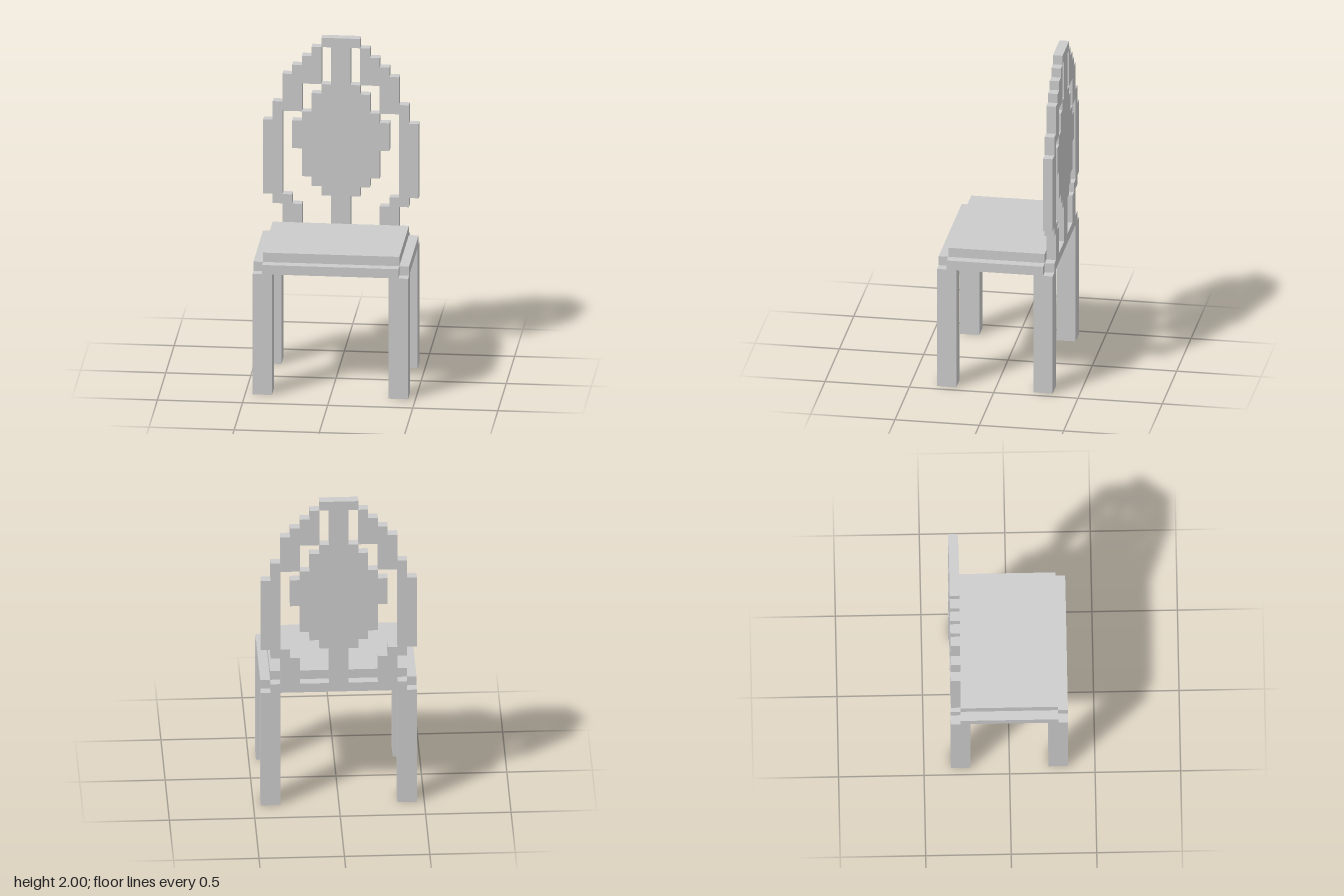
import * as THREE from 'three';

const U = 2 / 35; // one block
const material = new THREE.MeshStandardMaterial({ color: 0xcccccc, flatShading: true });

// Outline of stacked rows [bottom, top, left, right], listed bottom to top, in blocks
function steppedShape(rows) {
  const right = rows.flatMap(([b, t, , r]) => [[r, b], [r, t]]);
  const left = rows.flatMap(([b, t, l]) => [[l, b], [l, t]]).reverse();
  return new THREE.Shape([...right, ...left].map(([x, y]) => new THREE.Vector2(x * U, y * U)));
}

function slab(rows, depth, name) {
  const geometry = new THREE.ExtrudeGeometry(steppedShape(rows), { depth: depth * U, bevelEnabled: false });
  const mesh = new THREE.Mesh(geometry, material);
  mesh.name = name;
  return mesh;
}

function block(w, h, d, x, y, z, name) {
  const mesh = new THREE.Mesh(new THREE.BoxGeometry(w * U, h * U, d * U), material);
  mesh.position.set(x * U, y * U, z * U);
  mesh.name = name;
  return mesh;
}

export function createModel() {
  const chair = new THREE.Group();
  chair.name = 'chair';

  // Four square legs
  for (const x of [-7, 7]) {
    for (const z of [-5, 5]) {
      chair.add(block(2, 13, 2, x, 6.5, z, (z > 0 ? 'front' : 'back') + (x > 0 ? 'LeftLeg' : 'RightLeg')));
    }
  }

  // Seat frame with notched corners, laid flat, and the cushion on it
  const seat = slab([[-6, -5, -7, 7], [-5, 5, -8, 8], [5, 6, -7, 7]], 1, 'seatFrame');
  seat.rotation.x = -Math.PI / 2;
  seat.position.y = 13 * U;
  chair.add(seat, block(14, 1, 10, 0, 14.5, 0, 'cushion'));

  // Backrest: central splat with medallion [bottom, top, half width]
  const backrest = new THREE.Group();
  backrest.name = 'backrest';
  backrest.position.z = -6 * U;
  const splat = [
    [14, 18, 1], [18, 19, 2], [19, 20, 3], [20, 23, 4], [23, 26, 5], [26, 27, 4],
    [27, 29, 3], [29, 30, 2], [30, 34, 1], [34, 35, 2],
  ];
  backrest.add(slab(splat.map(([b, t, w]) => [b, t, -w, w]), 1, 'splat'));

  // Curved side rails, mirrored [bottom, top, inner, outer]
  const rail = [
    [14, 17, 4, 6], [17, 18, 5, 7], [18, 26, 6, 8], [26, 27, 6, 7], [27, 28, 4, 7],
    [28, 30, 4, 6], [30, 31, 2, 6], [31, 32, 2, 5], [32, 33, 2, 4], [33, 34, 2, 3],
  ];
  backrest.add(
    slab(rail, 1, 'leftRail'),
    slab(rail.map(([b, t, i, o]) => [b, t, -o, -i]), 1, 'rightRail'),
  );
  chair.add(backrest);
  return chair;
}
